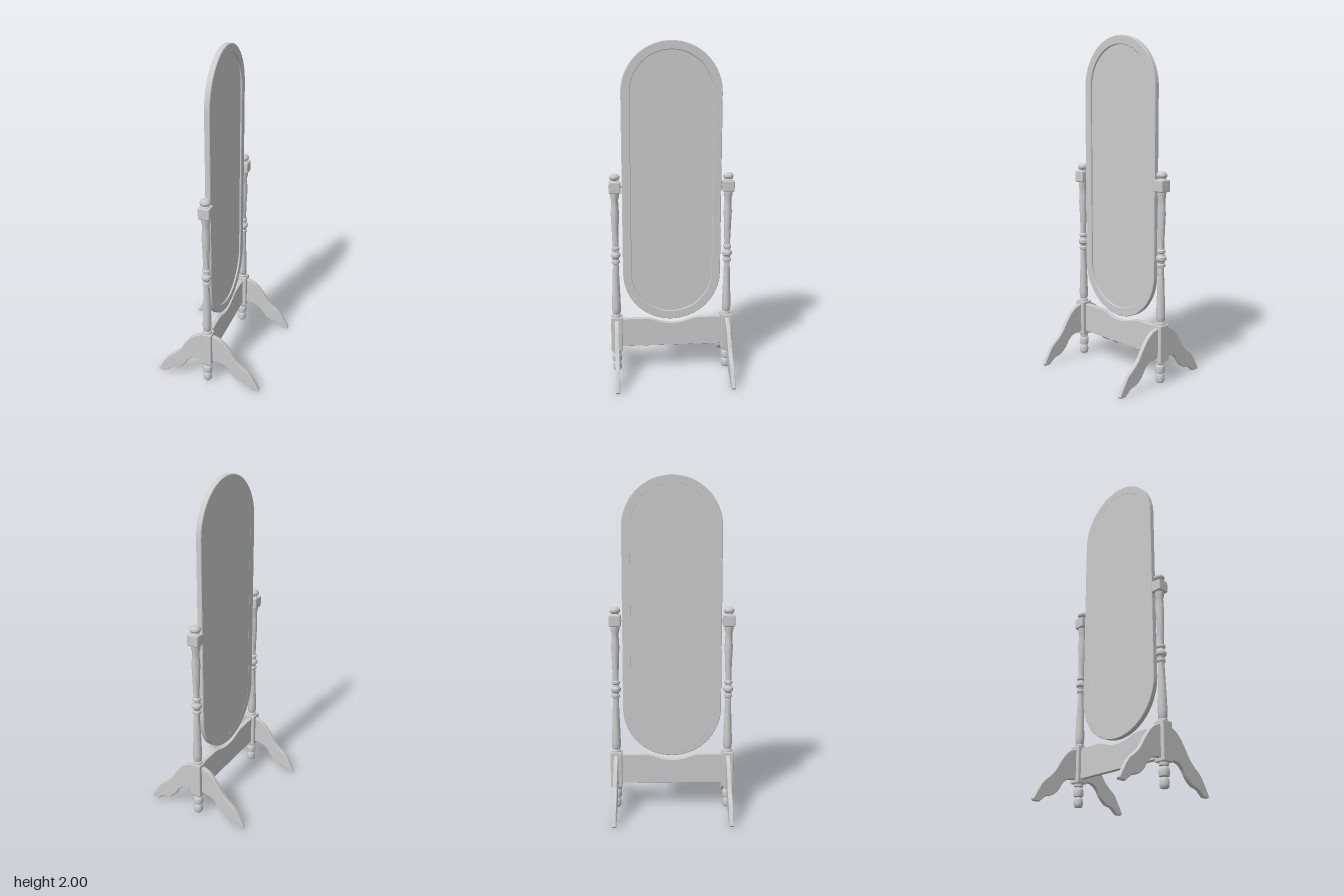
import * as THREE from 'three';
import { RoundedBoxGeometry } from 'three/addons/geometries/RoundedBoxGeometry.js';
import { toCreasedNormals } from 'three/addons/utils/BufferGeometryUtils.js';

const CX = -0.004; // shared centre line of posts and mirror
const POST_Z = 0.338;

const material = new THREE.MeshStandardMaterial({ color: 0xcccccc });

function add(parent, name, geometry, x = 0, y = 0, z = 0) {
  const mesh = new THREE.Mesh(geometry, material);
  mesh.name = name;
  mesh.position.set(x, y, z);
  parent.add(mesh);
  return mesh;
}

// Extrusion centred on its thickness, with softened edges
function slab(shape, thickness, bevel, curveSegments = 12) {
  const geometry = new THREE.ExtrudeGeometry(shape, {
    depth: thickness - 2 * bevel, bevelEnabled: bevel > 0, bevelThickness: bevel,
    bevelSize: bevel, bevelOffset: -bevel, bevelSegments: 1, curveSegments,
  });
  geometry.translate(0, 0, -thickness / 2 + bevel);
  return toCreasedNormals(geometry, 0.5);
}

function turned(profile) {
  const points = profile.map(([r, y]) => new THREE.Vector2(r, y));
  return toCreasedNormals(new THREE.LatheGeometry(points, 12), 0.6);
}

// Upright outline with semicircular ends, centred on the origin
function stadium(Type, r, halfStraight) {
  const path = new Type();
  path.moveTo(r, -halfStraight);
  path.lineTo(r, halfStraight);
  path.absarc(0, halfStraight, r, 0, Math.PI, false);
  path.lineTo(-r, -halfStraight);
  path.absarc(0, -halfStraight, r, Math.PI, 2 * Math.PI, false);
  return path;
}

const shaftProfile = [
  [0, 0.35], [0.028, 0.35], [0.028, 0.365], [0.021, 0.37], [0.026, 0.385], [0.027, 0.41],
  [0.025, 0.48], [0.021, 0.58], [0.018, 0.67], [0.018, 0.69], [0.025, 0.695], [0.025, 0.708],
  [0.019, 0.714], [0.021, 0.725], [0.03, 0.735], [0.03, 0.75], [0.021, 0.76], [0.019, 0.772],
  [0.025, 0.778], [0.025, 0.79], [0.018, 0.796], [0.018, 0.82], [0.021, 0.91], [0.025, 1.0],
  [0.022, 1.04], [0.021, 1.08], [0.026, 1.1], [0.026, 1.125], [0, 1.125],
];
const capProfile = [
  [0, 1.185], [0.026, 1.185], [0.026, 1.194], [0.02, 1.199], [0.028, 1.205],
  [0.032, 1.214], [0.03, 1.225], [0.02, 1.235], [0, 1.238],
];
const footProfile = [
  [0, 0.005], [0.02, 0.005], [0.026, 0.015], [0.027, 0.035], [0.024, 0.052], [0.018, 0.06],
  [0.027, 0.066], [0.03, 0.08], [0.028, 0.105], [0.02, 0.116], [0.026, 0.122], [0.026, 0.14], [0, 0.14],
];

// S-curved leg silhouette reaching out along +x
function legShape() {
  const shape = new THREE.Shape();
  const v = (list) => list.map(([x, y]) => new THREE.Vector2(x, y));
  shape.moveTo(0, 0.337);
  shape.lineTo(0.03, 0.337);
  shape.splineThru(v([[0.065, 0.328], [0.106, 0.3], [0.148, 0.246], [0.185, 0.188],
    [0.222, 0.15], [0.265, 0.115], [0.3, 0.062], [0.329, 0.01]]));
  shape.lineTo(0.322, 0);
  shape.lineTo(0.285, 0);
  shape.splineThru(v([[0.243, 0.034], [0.2, 0.046], [0.16, 0.077], [0.127, 0.125],
    [0.09, 0.15], [0.03, 0.157]]));
  shape.lineTo(0, 0.157);
  return shape;
}

function createStand(side) {
  const stand = new THREE.Group();
  stand.name = side > 0 ? 'frontStand' : 'backStand';
  const z = side * POST_Z;
  add(stand, 'postShaft', turned(shaftProfile), CX, 0, z);
  add(stand, 'postCap', turned(capProfile), CX, 0, z);
  add(stand, 'postFoot', turned(footProfile), CX, 0, z);
  add(stand, 'lowerBlock', new RoundedBoxGeometry(0.07, 0.218, 0.07, 1, 0.006), CX, 0.246, z);
  add(stand, 'upperBlock', new RoundedBoxGeometry(0.07, 0.07, 0.07, 1, 0.008), CX, 1.157, z);
  const leg = slab(legShape(), 0.026, 0.004, 3);
  add(stand, 'leftLeg', leg, 0, 0, z);
  add(stand, 'rightLeg', leg, 0, 0, z).rotation.y = Math.PI;
  // Pivot pin through the upper block into the mirror frame
  const pin = new THREE.CylinderGeometry(0.007, 0.007, 0.09, 10).rotateX(Math.PI / 2);
  add(stand, 'pivotPin', pin, CX, 1.16, side * 0.33);
  return stand;
}

function createMirror() {
  const mirror = new THREE.Group();
  mirror.name = 'mirror';
  const half = 0.5385;
  const frame = stadium(THREE.Shape, 0.295, half);
  frame.holes.push(stadium(THREE.Path, 0.243, half));
  add(mirror, 'mirrorFrame', slab(frame, 0.032, 0.003, 16));
  add(mirror, 'mirrorGlass', slab(stadium(THREE.Shape, 0.248, half), 0.01, 0, 16), 0, 0, 0.001);
  add(mirror, 'backPanel', slab(stadium(THREE.Shape, 0.25, half), 0.01, 0, 16), 0, 0, -0.0105);
  // The glass faces +x
  mirror.rotation.y = Math.PI / 2;
  mirror.position.set(-0.006, 1.1665, 0);
  return mirror;
}

// Cross board with a dip below the mirror
function stretcherGeometry() {
  const shape = new THREE.Shape();
  shape.moveTo(-0.32, 0.16);
  shape.lineTo(0.32, 0.16);
  shape.lineTo(0.32, 0.338);
  shape.lineTo(0.16, 0.338);
  shape.bezierCurveTo(0.11, 0.335, 0.08, 0.305, 0, 0.305);
  shape.bezierCurveTo(-0.08, 0.305, -0.11, 0.335, -0.16, 0.338);
  shape.lineTo(-0.32, 0.338);
  return slab(shape, 0.028, 0.002).rotateY(Math.PI / 2);
}

export function createModel() {
  const model = new THREE.Group();
  model.name = 'standingMirror';
  model.add(createStand(1), createStand(-1), createMirror());
  add(model, 'stretcher', stretcherGeometry(), CX - 0.002, 0, 0);
  return model;
}
